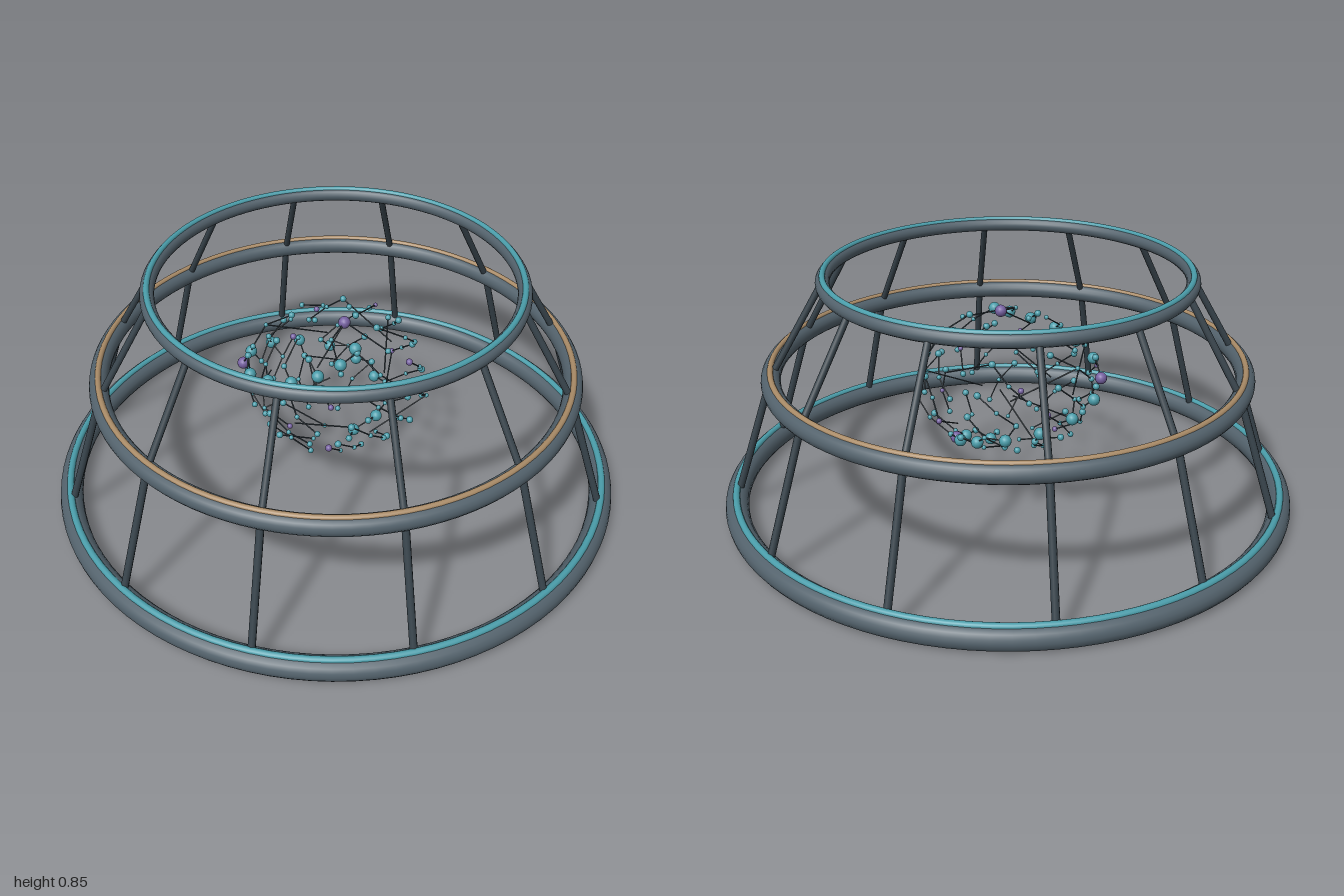
import * as THREE from 'three';

const mat = (color) => new THREE.MeshStandardMaterial({ color });
const UP = new THREE.Vector3(0, 1, 0);

export function createModel() {
  const model = new THREE.Group();
  const steel = mat(0x53626c), darkSteel = mat(0x38444c);
  const teal = mat(0x4a9daa), copper = mat(0xa88a66), purple = mat(0x7560a0);

  const add = (name, geometry, material, parent = model) => {
    const mesh = new THREE.Mesh(geometry, material);
    mesh.name = name;
    parent.add(mesh);
    return mesh;
  };
  const ring = (name, radius, tube, y, material) => {
    const mesh = add(name, new THREE.TorusGeometry(radius, tube, 16, 96), material);
    mesh.rotation.x = Math.PI / 2;
    mesh.position.y = y;
  };
  // Straight round bar between two points
  const rod = (name, a, b, radius, sides, material, parent) => {
    const dir = b.clone().sub(a);
    const geometry = new THREE.CylinderGeometry(radius, radius, dir.length(), sides);
    const mesh = add(name, geometry, material, parent);
    mesh.position.copy(a).add(b).multiplyScalar(0.5);
    mesh.quaternion.setFromUnitVectors(UP, dir.normalize());
  };
  const polar = (radius, angle, y) =>
    new THREE.Vector3(radius * Math.cos(angle), y, radius * Math.sin(angle));

  // Three stacked rings, each with a thin glowing strip along its crest
  const rings = [
    { name: 'base', radius: 0.96, tube: 0.04, y: 0.04, strip: teal, s: 0.012 },
    { name: 'middle', radius: 0.81, tube: 0.033, y: 0.488, strip: copper, s: 0.01 },
    { name: 'top', radius: 0.618, tube: 0.024, y: 0.814, strip: teal, s: 0.01 },
  ];
  for (const r of rings) {
    ring(r.name + 'Ring', r.radius, r.tube, r.y, steel);
    ring(r.name + 'Strip', r.radius, r.s, r.y + r.tube - 0.003, r.strip);
  }

  // Twelve struts, bent at the middle ring
  const struts = new THREE.Group();
  struts.name = 'struts';
  model.add(struts);
  for (let i = 0; i < 12; i++) {
    const angle = (i * Math.PI) / 6;
    const [a, b, c] = rings.map((r) => polar(r.radius, angle, r.y));
    rod('lowerStrut', a, b, 0.0125, 10, darkSteel, struts);
    rod('upperStrut', b, c, 0.0115, 10, darkSteel, struts);
  }

  // Floating network of nodes
  const network = new THREE.Group();
  network.name = 'nodeNetwork';
  model.add(network);
  const node = (name, position, radius, material) => {
    const geometry = new THREE.SphereGeometry(radius, 14, 10);
    add(name, geometry, material, network).position.copy(position);
  };

  // Large nodes wind once around the network from bottom to top
  const spiralRadii = [0.064, 0.15, 0.204, 0.243, 0.278, 0.309, 0.332, 0.34, 0.338,
    0.326, 0.302, 0.275, 0.253, 0.22, 0.19, 0.153, 0.04];
  const hubs = spiralRadii.map((radius, i) =>
    polar(radius, ((-40 - 20 * i) * Math.PI) / 180, 0.19 + 0.03 * i));
  hubs.forEach((p, i) => node('hubNode', p, 0.021, i % 7 === 2 ? purple : teal));

  // Small nodes spread evenly over a flattened shell
  const count = 112, golden = Math.PI * (3 - Math.sqrt(5));
  const small = [];
  for (let i = 0; i < count; i++) {
    const u = 1 - (2 * (i + 0.5)) / count;
    const wobble = 1 - 0.09 * ((i * 7) % 5) / 4;
    small.push(polar(0.325 * wobble * Math.sqrt(1 - u * u), i * golden, 0.43 + 0.245 * wobble * u));
  }
  small.forEach((p, i) =>
    node('smallNode', p, 0.008 + 0.002 * (i % 3), i % 11 === 4 ? purple : teal));

  // Fine links: neighbours on the shell, plus a few crossing the inside
  const link = (a, b) => rod('link', a, b, 0.0025, 6, darkSteel, network);
  for (let i = 0; i + 13 < count; i++) {
    if (i % 3 !== 1) link(small[i], small[i + 13]);
    if (i % 10 === 0) link(small[i], small[i + 8].clone().lerp(small[(i + 40) % count], 0.4));
  }
  hubs.forEach((p) => {
    const nearest = [...small].sort((a, b) => a.distanceTo(p) - b.distanceTo(p));
    link(p, nearest[0]);
    link(p, nearest[1]);
  });

  return model;
}
